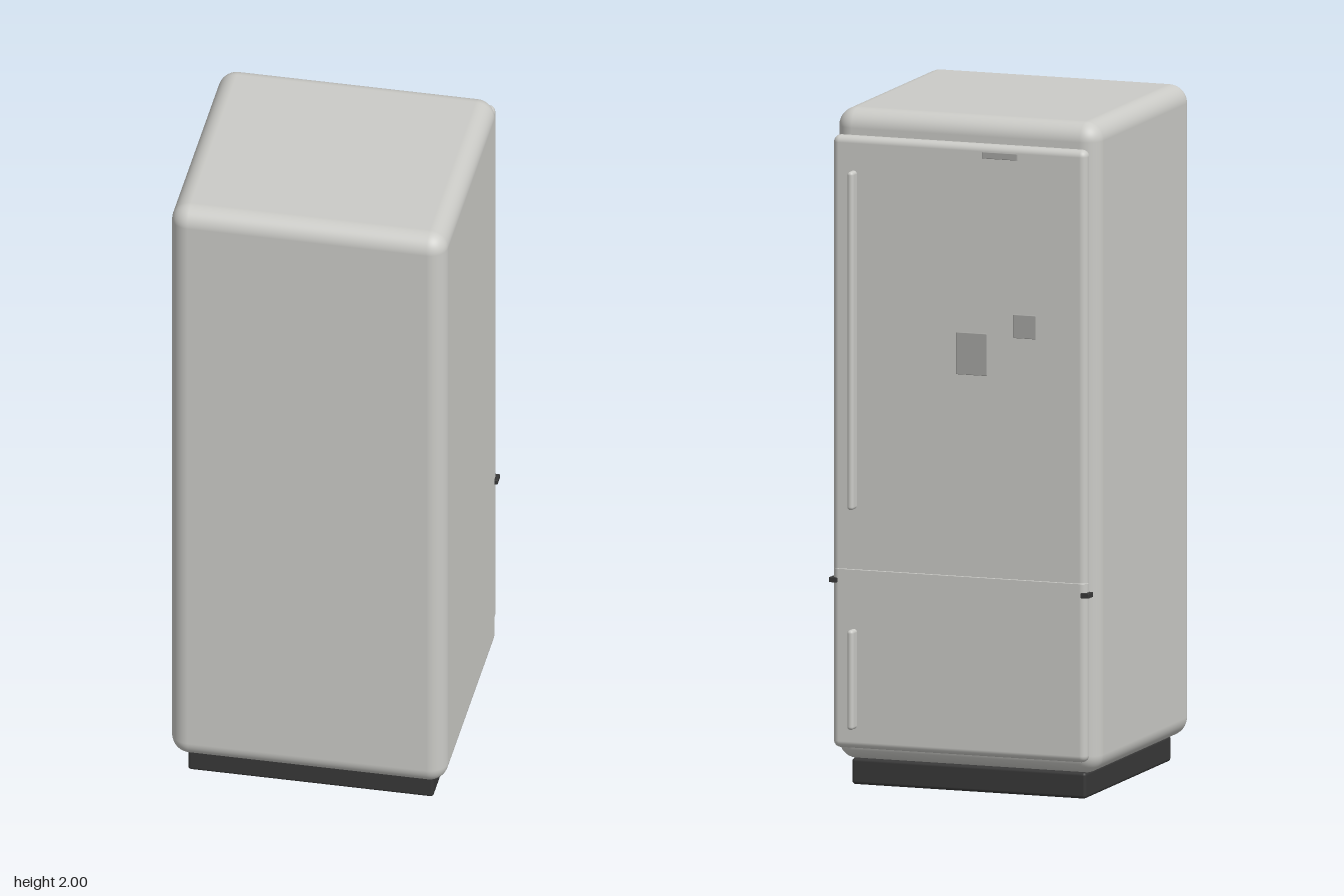
import * as THREE from 'three';
import { RoundedBoxGeometry } from 'three/addons/geometries/RoundedBoxGeometry.js';

const mat = (name, color) => {
  const m = new THREE.MeshStandardMaterial({ color });
  m.name = name;
  return m;
};

// Rounded box given by its limits on each axis
function block(name, material, [x0, x1], [y0, y1], [z0, z1], radius, segments = 5) {
  const geo = new RoundedBoxGeometry(x1 - x0, y1 - y0, z1 - z0, segments, radius);
  geo.translate((x0 + x1) / 2, (y0 + y1) / 2, (z0 + z1) / 2);
  const mesh = new THREE.Mesh(geo, material);
  mesh.name = name;
  return mesh;
}

// Door panel: rounded outside, cut flat where the two doors meet
function door(name, material, y0, y1, cutTop) {
  const r = 0.02;
  const mesh = block(name, material, [-0.395, 0.395],
    [cutTop ? y0 : y0 - r, cutTop ? y1 + r : y1], [-0.402, -0.357], r);
  const p = mesh.geometry.attributes.position;
  for (let i = 0; i < p.count; i++) p.setY(i, Math.min(y1, Math.max(y0, p.getY(i))));
  return mesh;
}

export function createModel() {
  const enamel = mat('light grey enamel', 0xcbcbc7);
  const dark = mat('dark grey plastic', 0x383838);
  const steel = mat('mid grey metal', 0xa6a6a3);
  const model = new THREE.Group();
  model.name = 'refrigerator';

  // Cabinet on its recessed plinth
  model.add(block('cabinet', enamel, [-0.41, 0.41], [0.075, 2], [-0.348, 0.437], 0.055, 8));
  model.add(block('plinth', dark, [-0.365, 0.365], [0, 0.078], [-0.322, 0.382], 0.01, 3));

  // Doors with a hairline seam, facing -z
  const seam = 0.65;
  model.add(door('freezerDoor', enamel, 0.12, seam - 0.001, true));
  model.add(door('fridgeDoor', enamel, seam + 0.001, 1.93, false));

  // Upright handles
  for (const [name, y0, y1] of [['fridgeHandle', 0.83, 1.83], ['freezerHandle', 0.18, 0.475]])
    model.add(block(name, enamel, [0.317, 0.337], [y0, y1], [-0.438, -0.396], 0.0095));

  // Hinge tabs on both edges
  for (const s of [-1, 1]) {
    const hinge = block('hinge', dark, [-0.013, 0.013], [0.608, 0.623], [-0.403, -0.367], 0.002, 2);
    hinge.position.x = s * 0.392;
    model.add(hinge);
  }

  // Thin plates on the upper door: x centre, y centre, width, height
  const plates = [
    ['largeMagnet', -0.04, 1.31, 0.095, 0.125],
    ['smallMagnet', -0.205, 1.4, 0.07, 0.07],
    ['trimPlate', -0.128, 1.9, 0.11, 0.02],
  ];
  for (const [name, x, y, w, h] of plates)
    model.add(block(name, steel, [x - w / 2, x + w / 2], [y - h / 2, y + h / 2], [-0.406, -0.4], 0.002, 2));

  return model;
}
